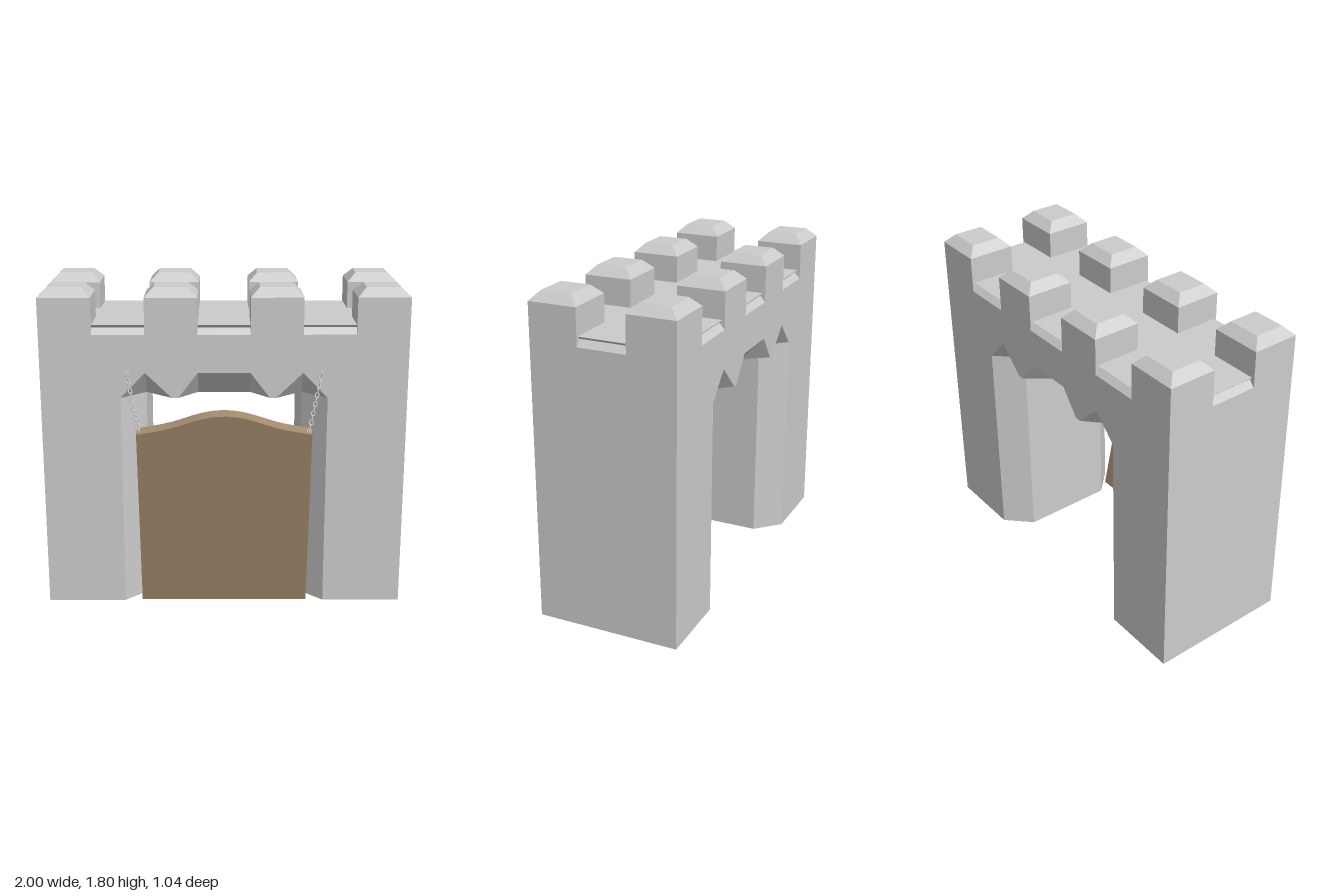
import * as THREE from 'three';

const FRONT = 0.28, BACK = -0.52, MID = (FRONT + BACK) / 2, DEPTH = FRONT - BACK;
const LEDGE = 1.55;

const stone = new THREE.MeshStandardMaterial({ color: 0xcccccc, flatShading: true });
const wood = new THREE.MeshStandardMaterial({ color: 0xa38a6e, flatShading: true });
const iron = new THREE.MeshStandardMaterial({ color: 0xcccccc });

function addMesh(parent, name, geometry, material) {
  const mesh = new THREE.Mesh(geometry, material);
  mesh.name = name;
  parent.add(mesh);
  return mesh;
}

// Box standing on y = 0 whose top and bottom are inset by different amounts
function taperedBox(w, h, d, bottomInset, topInset) {
  const geo = new THREE.BoxGeometry(w, h, d).translate(0, h / 2, 0);
  const p = geo.attributes.position;
  for (let i = 0; i < p.count; i++) {
    const inset = p.getY(i) > h / 2 ? topInset : bottomInset;
    p.setX(i, p.getX(i) - Math.sign(p.getX(i)) * inset);
    p.setZ(i, p.getZ(i) - Math.sign(p.getZ(i)) * inset);
  }
  geo.computeVertexNormals();
  return geo;
}

// Wall with a gateway: outlines at four depths, joined so the gateway edges are chamfered and notched
function gatehouseGeometry() {
  const mirror = (half) => [...half, ...half.map(([x, y]) => [-x, y]).reverse()];
  const walls = [[1, 0], [1, LEDGE], [-1, LEDGE], [-1, 0]];
  const outer = [...walls, ...mirror([[-0.565, 0], [-0.565, 1.2], [-0.43, 1.34], [-0.285, 1.2], [-0.25, 1.2], [-0.143, 1.34]])];
  const inner = [...walls, ...mirror([[-0.43, 0], [-0.43, 1.2], [-0.43, 1.2], [-0.285, 1.2], [-0.25, 1.2], [-0.143, 1.2]])];
  const stations = [[outer, FRONT], [inner, FRONT - 0.135], [inner, BACK + 0.135], [outer, BACK]];
  const n = outer.length;
  const positions = stations.flatMap(([loop, z]) => loop.flatMap(([x, y]) => [x, y, z]));
  const index = [];
  for (let s = 0; s < 3; s++) {
    for (let j = 0; j < n; j++) {
      const k = (j + 1) % n;
      const a = s * n + j, b = s * n + k, a2 = a + n, b2 = b + n;
      // the diagonal follows the lower side of each notch
      const falling = outer[j][1] > outer[k][1];
      if (falling !== (s === 2)) index.push(a, a2, b, b, a2, b2);
      else index.push(a, a2, b2, a, b2, b);
    }
  }
  const contour = outer.map(([x, y]) => new THREE.Vector2(x, y));
  for (const [i, j, k] of THREE.ShapeUtils.triangulateShape(contour, [])) {
    index.push(i, j, k, 3 * n + i, 3 * n + k, 3 * n + j);
  }
  const geo = new THREE.BufferGeometry();
  geo.setAttribute('position', new THREE.Float32BufferAttribute(positions, 3));
  geo.setIndex(index);
  const flat = geo.toNonIndexed();
  flat.computeVertexNormals();
  return flat;
}

// Parapet walk with a shallow groove under its lip, and two rows of capped merlons
function addBattlements(parent) {
  const groove = addMesh(parent, 'parapetGroove', taperedBox(2, 0.035, DEPTH, 0, 0.03), stone);
  groove.position.set(0, LEDGE, MID);
  const lip = addMesh(parent, 'parapetWalk', taperedBox(2, 0.015, DEPTH, 0.03, 0.014), stone);
  lip.position.set(0, LEDGE + 0.035, MID);

  const w = 2 / 7, d = DEPTH / 3;
  for (const z of [FRONT - d / 2, BACK + d / 2]) {
    for (let i = 0; i < 4; i++) {
      const merlon = new THREE.Group();
      merlon.name = 'merlon';
      merlon.position.set(-1 + w / 2 + i * 2 * w, LEDGE, z);
      addMesh(merlon, 'merlonBlock', taperedBox(w, 0.2, d, 0, 0), stone);
      addMesh(merlon, 'merlonCap', taperedBox(w, 0.05, d, 0, 0.05), stone).position.y = 0.2;
      parent.add(merlon);
    }
  }
}

// Leaning drawbridge with a curved top edge
function addDrawbridge(parent) {
  const shape = new THREE.Shape();
  shape.moveTo(0.468, 1.075);
  shape.splineThru([[0.3, 1.108], [0.12, 1.167], [0, 1.183], [-0.12, 1.167], [-0.3, 1.108], [-0.468, 1.075]]
    .map(([x, y]) => new THREE.Vector2(x, y)));
  shape.lineTo(-0.468, 0);
  shape.lineTo(0.468, 0);
  const geo = new THREE.ExtrudeGeometry(shape, { depth: 0.076, bevelEnabled: false, curveSegments: 3 });
  geo.translate(0, 0, -0.076);
  const bridge = addMesh(parent, 'drawbridge', geo, wood);
  bridge.position.set(0, 0.004, FRONT);
  bridge.rotation.x = 0.207;
}

// Chain of alternating oval links between wall and drawbridge
function addChain(parent, side) {
  const chain = new THREE.Group();
  chain.name = side > 0 ? 'leftChain' : 'rightChain';
  const start = new THREE.Vector3(side * 0.53, 1.34, FRONT + 0.005);
  const end = new THREE.Vector3(side * 0.453, 1.065, 0.475);
  const dir = end.clone().sub(start).normalize();
  const aim = new THREE.Quaternion().setFromUnitVectors(new THREE.Vector3(0, 1, 0), dir);
  const linkGeo = new THREE.TorusGeometry(0.01, 0.0032, 6, 10).scale(1, 1.5, 1);
  const count = 14;
  for (let i = 0; i < count; i++) {
    const link = addMesh(chain, 'chainLink', linkGeo, iron);
    link.position.lerpVectors(start, end, i / (count - 1));
    link.quaternion.copy(aim);
    link.rotateY(Math.PI / 4 + (i % 2) * Math.PI / 2);
  }
  // Anchor eyes at both ends
  const eyeGeo = new THREE.TorusGeometry(0.011, 0.004, 6, 10).rotateY(Math.PI / 2);
  for (const point of [start, end]) {
    addMesh(chain, 'chainAnchor', eyeGeo, iron).position.copy(point);
  }
  parent.add(chain);
}

export function createModel() {
  const model = new THREE.Group();
  model.name = 'castleGate';
  addMesh(model, 'gatehouseWall', gatehouseGeometry(), stone);
  addBattlements(model);
  addDrawbridge(model);
  for (const side of [1, -1]) addChain(model, side);
  return model;
}
